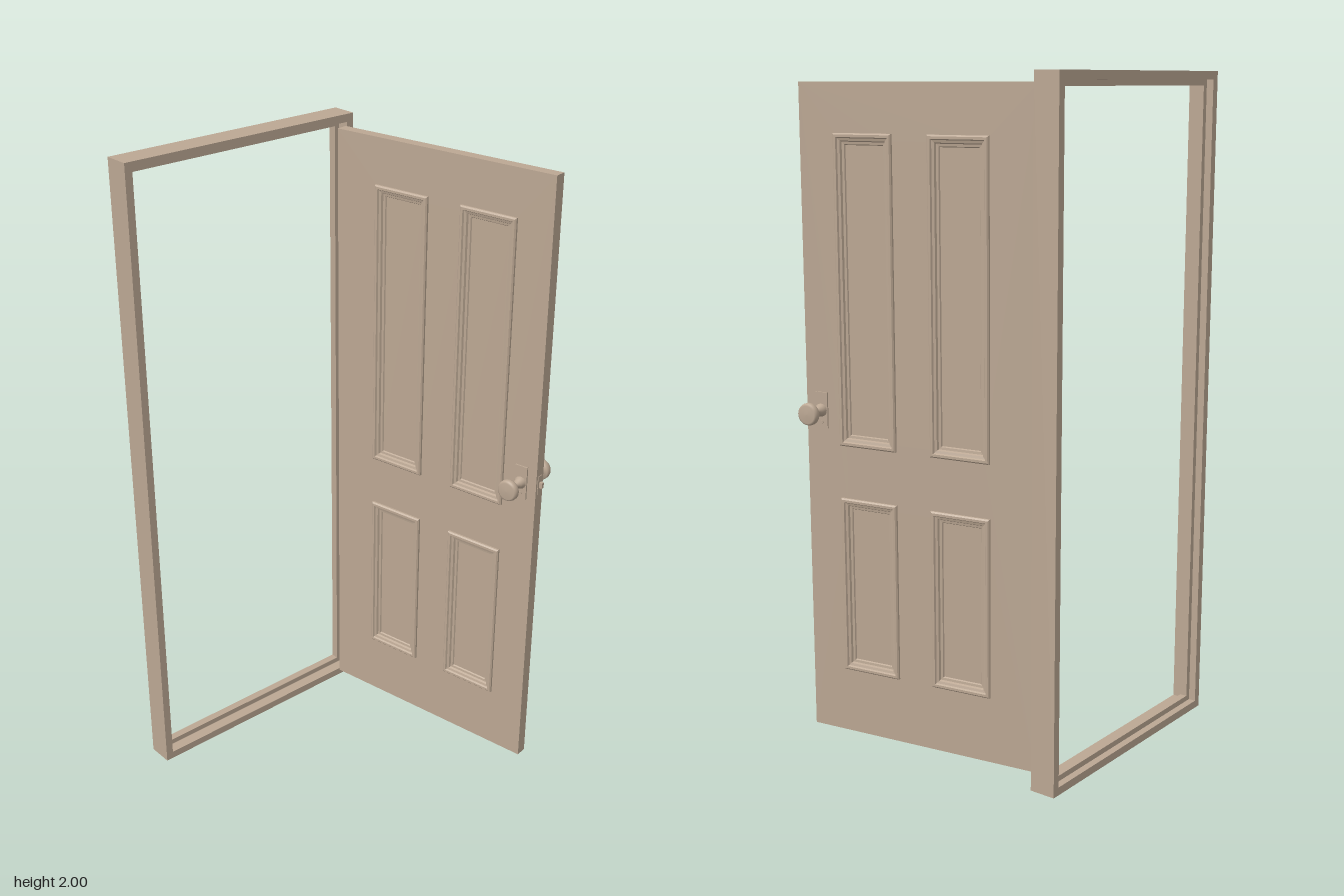
import * as THREE from 'three';

const wood = new THREE.MeshStandardMaterial({ color: 0xbba793 });
wood.name = 'warm taupe';

function add(parent, name, geometry, x = 0, y = 0, z = 0) {
  const mesh = new THREE.Mesh(geometry, wood);
  mesh.name = name;
  mesh.position.set(x, y, z);
  parent.add(mesh);
  return mesh;
}

// Sweeps a profile of [inset, z] points around a w x h rectangle with mitred corners
function mitredRing(w, h, profile) {
  const corners = [[-1, -1], [1, -1], [1, 1], [-1, 1]];
  const point = (c, i) => {
    const [sx, sy] = corners[c % 4], [inset, z] = profile[i];
    return [sx * (w / 2 - inset), sy * (h / 2 - inset), z];
  };
  const pos = [];
  for (let c = 0; c < 4; c++) {
    for (let i = 0; i < profile.length - 1; i++) {
      const a = point(c, i), b = point(c + 1, i), d = point(c, i + 1), e = point(c + 1, i + 1);
      pos.push(...a, ...b, ...e, ...a, ...e, ...d);
    }
  }
  const g = new THREE.BufferGeometry();
  g.setAttribute('position', new THREE.Float32BufferAttribute(pos, 3));
  g.computeVertexNormals();
  return g;
}

function rectPath(path, x, y, w, h) {
  path.moveTo(x - w / 2, y - h / 2);
  path.lineTo(x + w / 2, y - h / 2);
  path.lineTo(x + w / 2, y + h / 2);
  path.lineTo(x - w / 2, y + h / 2);
  path.closePath();
  return path;
}

export function createModel() {
  const model = new THREE.Group();
  model.name = 'openDoor';

  // Door frame with a stop bead running round the opening
  add(model, 'doorFrame', mitredRing(0.807, 2, [
    [0, -0.427], [0, -0.347], [0.024, -0.347], [0.024, -0.383], [0.041, -0.383],
    [0.041, -0.405], [0.024, -0.405], [0.024, -0.427], [0, -0.427],
  ]), -0.0825, 1, 0);

  // Door leaf: local x runs from hinge to latch, local z is the thickness
  const door = new THREE.Group();
  door.name = 'door';
  door.position.set(0.3275, 0, 0.041);
  door.rotation.y = THREE.MathUtils.degToRad(-80);
  model.add(door);

  const width = 0.754, half = 0.018;
  const panels = [];
  for (const x of [0.167, -0.137]) {
    panels.push([x, 1.38, 0.19, 0.9], [x, 0.503, 0.19, 0.536]);
  }
  const outline = rectPath(new THREE.Shape(), 0, 1.0025, width, 1.935);
  for (const [x, y, w, h] of panels) {
    outline.holes.push(rectPath(new THREE.Path(), x, y, w - 0.04, h - 0.04));
  }
  add(door, 'doorSlab', new THREE.ExtrudeGeometry(outline, { depth: 2 * half, bevelEnabled: false }), 0, 0, -half);

  // Recessed panels with raised mouldings on both sides
  const moulding = [[0, 0.016], [0, 0.024], [0.004, 0.028], [0.011, 0.028],
    [0.014, 0.023], [0.021, 0.021], [0.024, 0.015], [0.031, 0.014], [0.034, 0.009]];
  for (const [x, y, w, h] of panels) {
    add(door, 'panel', new THREE.BoxGeometry(w - 0.04, h - 0.04, 0.02), x, y, 0);
    for (const turn of [0, Math.PI]) {
      add(door, 'panelMoulding', mitredRing(w, h, moulding), x, y, 0).rotation.y = turn;
    }
  }

  // Knob, back plate and keyhole cover on each side
  const knobProfile = [[0.019, 0.018], [0.019, 0.028], [0.015, 0.032], [0.014, 0.04], [0.009, 0.045],
    [0.008, 0.056], [0.011, 0.065], [0.018, 0.073], [0.03, 0.077], [0.033, 0.082],
    [0.033, 0.089], [0.031, 0.096], [0.026, 0.099], [0, 0.1]].map(([r, h]) => new THREE.Vector2(r, h));
  const knobX = 0.325, knobY = 1.03;
  for (const turn of [0, Math.PI]) {
    const handle = new THREE.Group();
    handle.name = 'handle';
    handle.position.set(knobX, knobY, 0);
    handle.rotation.y = turn;
    door.add(handle);
    add(handle, 'knob', new THREE.LatheGeometry(knobProfile, 28)).rotation.x = Math.PI / 2;
    add(handle, 'backPlate', new THREE.BoxGeometry(0.042, 0.107, 0.005), 0, 0, half + 0.0025);
    const cover = add(handle, 'keyholeCover', new THREE.CylinderGeometry(0.006, 0.006, 0.003, 16), 0, -0.036, half + 0.006);
    cover.rotation.x = Math.PI / 2;
  }

  // Latch on the free edge
  add(door, 'latchPlate', new THREE.BoxGeometry(0.002, 0.06, 0.022), width / 2 + 0.001, knobY, 0);
  add(door, 'latchBolt', new THREE.BoxGeometry(0.012, 0.018, 0.01), width / 2 + 0.006, knobY, 0);

  // Hinges: one leaf on the door edge, one on the jamb, and the pin between
  for (const y of [0.222, 1.722]) {
    add(door, 'hingeDoorLeaf', new THREE.BoxGeometry(0.003, 0.104, 0.048), -width / 2 - 0.0015, y, -0.009);
    add(model, 'hingeJambLeaf', new THREE.BoxGeometry(0.003, 0.104, 0.045), 0.2955, y, -0.3595);
    add(model, 'hingePin', new THREE.CylinderGeometry(0.005, 0.005, 0.106, 14), 0.294, y, -0.338);
  }
  return model;
}
